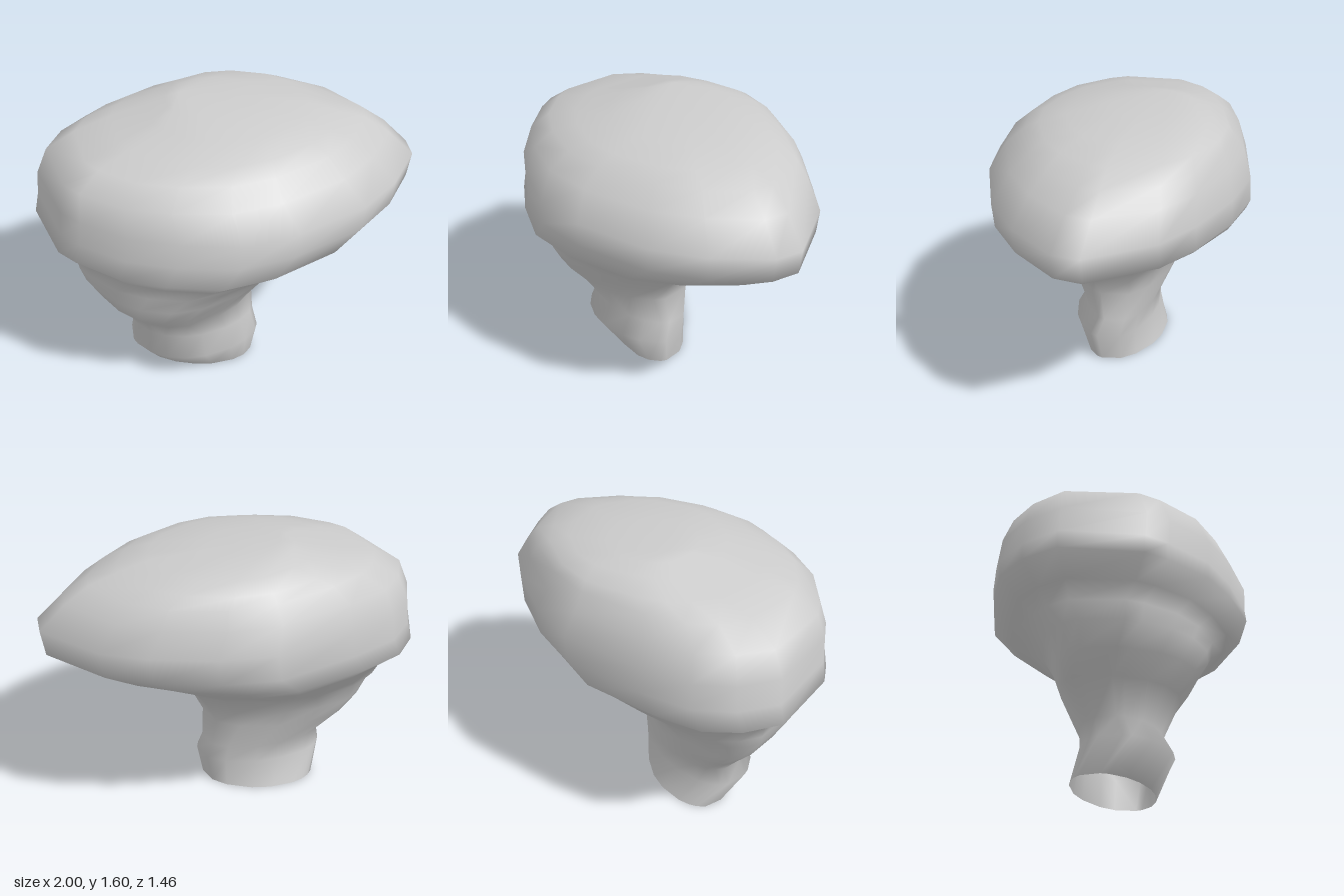
import * as THREE from 'three';

// Lopsided plan outline of the cap, scaled to -1..1 in both directions
const OUTLINE = [
  [-0.3, -1], [0.16, -0.94], [0.43, -0.75], [0.7, -0.45], [0.87, -0.18], [1, 0.34],
  [0.94, 0.53], [0.68, 0.79], [0.4, 0.95], [-0.03, 1], [-0.33, 0.94], [-0.6, 0.71],
  [-0.8, 0.47], [-0.95, 0.13], [-1, -0.05], [-0.96, -0.64], [-0.8, -0.86], [-0.6, -0.99],
];

// Cross-sections: y, xMin, xMax, zMin, zMax, cap outline share,
// skew of the width towards -x, slant along the +x+z diagonal
const RINGS = [
  [0, -0.5, 0.09, -0.3, 0.2, 0, 0, 0.45],
  [0.17, -0.6, 0.12, -0.26, 0.27, 0, 0.15, 0.28],
  [0.28, -0.57, 0.11, -0.26, 0.21, 0, 0.15, 0.3],
  [0.45, -0.67, 0.1, -0.38, 0.28, 0, 0.3, 0.25],
  [0.56, -0.77, 0.15, -0.43, 0.36, 0, 0.3, 0.22],
  [0.68, -0.84, 0.25, -0.48, 0.43, 0.25, 0.25, 0.2],
  [0.77, -0.87, 0.38, -0.56, 0.48, 0.5, 0.15, 0.2],
  [0.87, -0.89, 0.58, -0.63, 0.58, 0.8, 0.08, 0.15],
  [0.97, -1, 0.79, -0.73, 0.7, 1, 0, 0],
  [1.08, -0.98, 0.98, -0.73, 0.72, 1, 0, 0],
  [1.22, -0.97, 1, -0.72, 0.73, 1, 0, 0],
  [1.36, -0.93, 0.88, -0.68, 0.63, 0.85, 0, 0],
  [1.45, -0.8, 0.77, -0.61, 0.53, 0.6, 0, 0],
  [1.5, -0.6, 0.62, -0.57, 0.45, 0.4, 0, 0],
  [1.55, -0.4, 0.47, -0.48, 0.31, 0.2, 0, 0],
  [1.58, -0.28, 0.2, -0.38, 0.08, 0.1, 0, 0],
];

function ringPoints([y, x0, x1, z0, z1, share, skew, slant]) {
  return OUTLINE.map(([u, v]) => {
    const len = Math.hypot(u, v);
    const cu = u / len, cv = v / len;
    const a = THREE.MathUtils.lerp(cu - skew * cv * cv, u, share);
    const b = THREE.MathUtils.lerp(cv * Math.sqrt(1 - slant * slant) + slant * cu, v, share);
    return [(x0 + x1) / 2 + a * (x1 - x0) / 2, y, (z0 + z1) / 2 + b * (z1 - z0) / 2];
  });
}

export function createModel() {
  const n = OUTLINE.length;
  const positions = RINGS.flatMap(ringPoints).flat();
  const index = [];

  // Walls between neighbouring sections
  for (let r = 0; r < RINGS.length - 1; r++) {
    for (let i = 0; i < n; i++) {
      const a = r * n + i, b = r * n + (i + 1) % n;
      index.push(a, a + n, b, b, a + n, b + n);
    }
  }

  // Crown closes the cap; the foot of the stalk stays open
  const crown = RINGS.length * n;
  positions.push(-0.17, 1.597, -0.25);
  for (let i = 0; i < n; i++) index.push(crown - n + i, crown, crown - n + (i + 1) % n);

  const geometry = new THREE.BufferGeometry();
  geometry.setAttribute('position', new THREE.Float32BufferAttribute(positions, 3));
  geometry.setIndex(index);
  geometry.computeVertexNormals();

  const body = new THREE.Mesh(geometry, new THREE.MeshStandardMaterial({
    color: 0xcccccc, side: THREE.DoubleSide,
  }));
  body.name = 'capAndStalk';

  const group = new THREE.Group();
  group.name = 'mushroomRock';
  group.add(body);
  return group;
}
